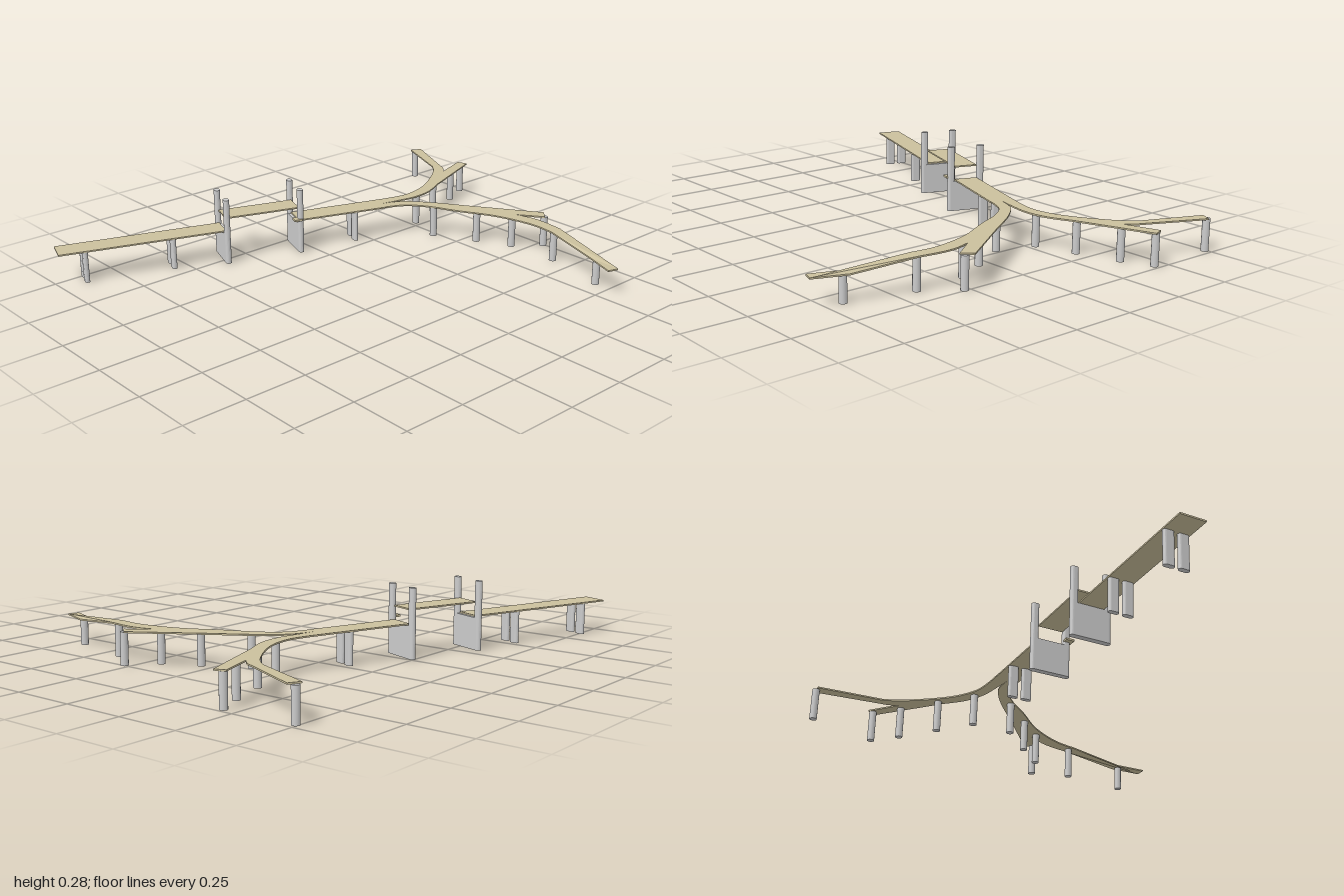
import * as THREE from 'three';

const DECK_Y = 0.135, THICK = 0.006;
const grey = new THREE.MeshStandardMaterial({ color: 0xcccccc });
const tan = new THREE.MeshStandardMaterial({ color: 0xcabf9c });

function add(parent, name, geometry, material, x = 0, y = 0, z = 0) {
  const mesh = new THREE.Mesh(geometry, material);
  mesh.name = name;
  mesh.position.set(x, y, z);
  parent.add(mesh);
  return mesh;
}

// Upright wall or post with a round-ended plan, long side along z, base at y = 0
function roundedWall(length, width, height) {
  const r = width / 2, h = length / 2 - r;
  const s = new THREE.Shape();
  s.absarc(0, h, r, 0, Math.PI, false);
  s.absarc(0, -h, r, Math.PI, Math.PI * 2, false);
  s.closePath();
  return new THREE.ExtrudeGeometry(s, { depth: height, bevelEnabled: false, curveSegments: 8 })
    .rotateX(-Math.PI / 2);
}

// Thin road slab from an outline of [x, z] runs; each run is a smooth curve
function roadSlab(runs) {
  const v = runs.map(run => run.map(([x, z]) => new THREE.Vector2(x, -z)));
  const s = new THREE.Shape();
  s.moveTo(v[0][0].x, v[0][0].y);
  v.forEach((run, i) => {
    if (i) s.lineTo(run[0].x, run[0].y);
    if (run.length > 2) s.splineThru(run.slice(1));
    else if (run.length === 2) s.lineTo(run[1].x, run[1].y);
  });
  s.closePath();
  return new THREE.ExtrudeGeometry(s, { depth: THICK, bevelEnabled: false, curveSegments: 18 })
    .rotateX(-Math.PI / 2).translate(0, DECK_Y - THICK, 0);
}

export function createModel() {
  const model = new THREE.Group();
  model.name = 'liftBridge';

  // Straight main bridge, built along local x
  const bridge = new THREE.Group();
  bridge.name = 'mainBridge';
  bridge.position.set(-0.98, 0, -0.757);
  bridge.rotation.y = -0.339;
  model.add(bridge);

  const towers = [0.68, 0.997];
  const slab = (name, from, to, y) => add(bridge, name,
    new THREE.BoxGeometry(to - from, THICK, 0.1), tan, (from + to) / 2, y - THICK / 2, 0);
  slab('westDeck', 0, towers[0], DECK_Y);
  slab('eastDeck', towers[1], 1.385, DECK_Y);
  slab('liftSpan', towers[0], towers[1], 0.191);

  // Lift towers: pier wall with a post at each end
  for (const x of towers) {
    add(bridge, 'towerPier', roundedWall(0.162, 0.024, DECK_Y - THICK), grey, x);
    for (const side of [-1, 1])
      add(bridge, 'towerPost', roundedWall(0.031, 0.024, 0.275), grey, x, 0, side * 0.0655);
  }
  add(bridge, 'towerPlatform', new THREE.BoxGeometry(0.034, 0.008, 0.034), tan, 0.983, 0.146, 0.07);

  // Paired deck piers
  for (const x of [0.106, 0.461, 1.257])
    for (const side of [-1, 1])
      add(bridge, 'deckPier', roundedWall(0.042, 0.02, DECK_Y - THICK), grey, x, 0, side * 0.028);

  // Forked east ramp
  add(model, 'eastRamp', roadSlab([
    [[0.326, -0.35], [0.417, -0.32], [0.5, -0.306], [0.6, -0.325], [0.7, -0.375], [0.8, -0.445], [0.85, -0.5]],
    [[0.95, -0.75], [0.995, -0.727]],
    [[0.887, -0.487], [0.87, -0.45], [0.84, -0.417]],
    [[0.984, -0.465], [1.0, -0.422]],
    [[0.695, -0.31], [0.594, -0.267], [0.5, -0.257], [0.406, -0.273], [0.315, -0.294]],
  ]), tan);

  // Forked south ramp, whose long arm slopes down toward its end
  const south = roadSlab([
    [[0.315, -0.294], [0.38, -0.273], [0.433, -0.24], [0.508, -0.15], [0.594, -0.016]],
    [[0.77, 0.25], [0.733, 0.289]],
    [[0.663, 0.19], [0.682, 0.26], [0.685, 0.325], [0.674, 0.42]],
    [[0.615, 0.67], [0.567, 0.8]],
    [[0.524, 0.786], [0.572, 0.66]],
    [[0.62, 0.42], [0.626, 0.3], [0.588, 0.14], [0.513, -0.01], [0.46, -0.128], [0.396, -0.21], [0.303, -0.255]],
  ]);
  const drop = z => 0.027 * THREE.MathUtils.clamp((z - 0.42) / 0.25, 0, 1);
  const p = south.attributes.position;
  for (let i = 0; i < p.count; i++)
    if (p.getZ(i) > 0.42) p.setY(i, p.getY(i) - drop(p.getZ(i)));
  south.computeVertexNormals();
  add(model, 'southRamp', south, tan);

  // Round columns under the ramps
  const columns = [
    [0.53, -0.28], [0.69, -0.335], [0.86, -0.392], [0.978, -0.445], [0.972, -0.742],
    [0.48, -0.12], [0.57, 0.05], [0.638, 0.19], [0.745, 0.275], [0.648, 0.41], [0.588, 0.68],
  ];
  for (const [x, z] of columns) {
    const h = DECK_Y - THICK - drop(z);
    add(model, 'rampColumn', new THREE.CylinderGeometry(0.015, 0.015, h, 16), grey, x, h / 2, z);
  }
  return model;
}
